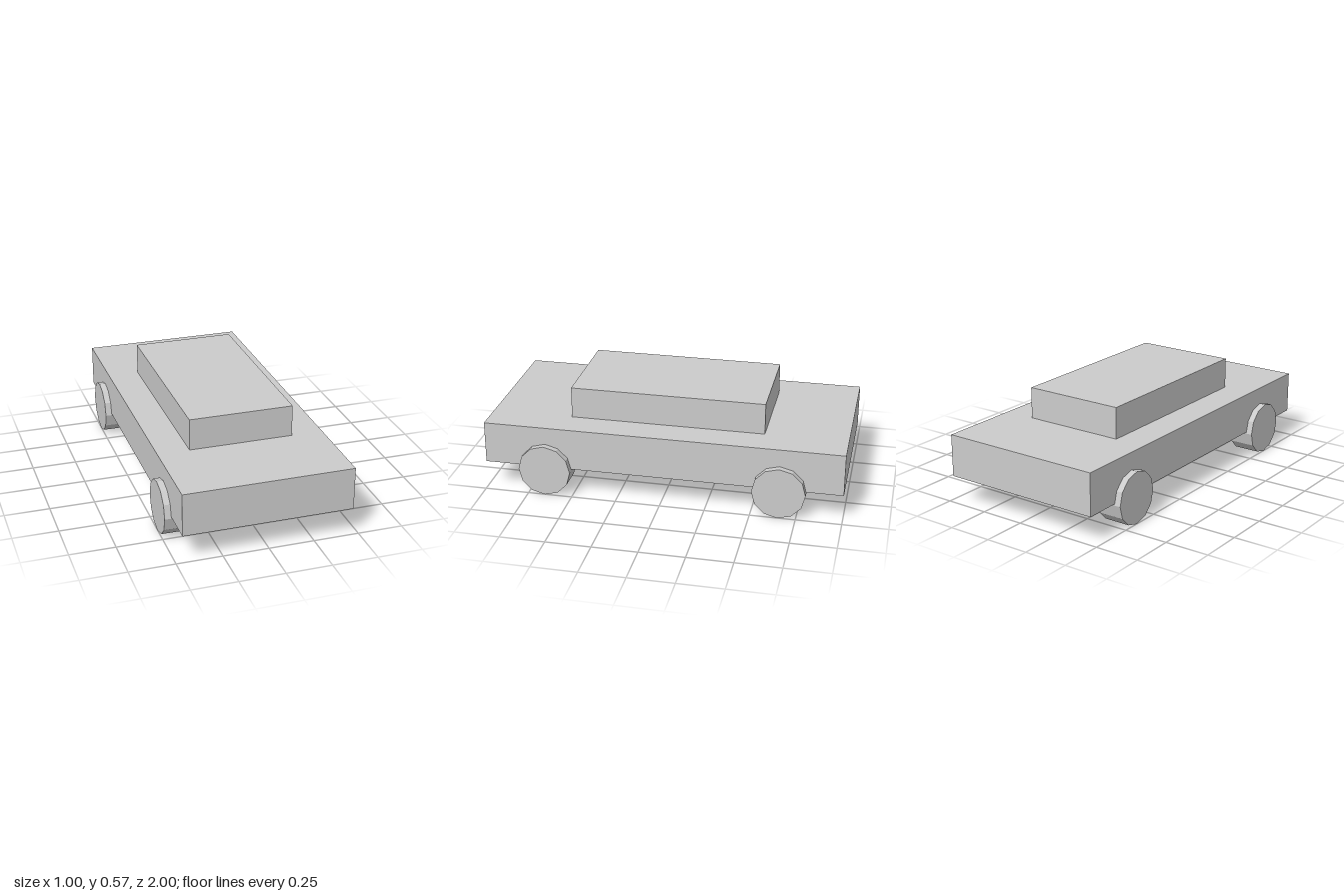
import * as THREE from 'three';

const material = new THREE.MeshStandardMaterial({ color: 0xcccccc, flatShading: true });

function addPart(group, name, geometry, x, y, z) {
  const mesh = new THREE.Mesh(geometry, material);
  mesh.name = name;
  mesh.position.set(x, y, z);
  group.add(mesh);
}

export function createModel() {
  const car = new THREE.Group();
  car.name = 'car';

  // Body slab and cabin resting on it
  const bottom = 0.155, deck = 0.392, roof = 0.568;
  addPart(car, 'body', new THREE.BoxGeometry(0.93, deck - bottom, 2), 0, (bottom + deck) / 2, 0);
  addPart(car, 'cabin', new THREE.BoxGeometry(0.577, roof - deck, 1.087), 0, (deck + roof) / 2, 0);

  // Four twelve-sided wheels, axles along x
  const radius = 0.147, width = 0.147;
  const wheel = new THREE.CylinderGeometry(radius, radius, width, 12).rotateZ(Math.PI / 2);
  for (const [end, z] of [['front', 0.653], ['rear', -0.653]]) {
    for (const [side, sign] of [['Left', 1], ['Right', -1]]) {
      addPart(car, `${end}${side}Wheel`, wheel, sign * (0.501 - width / 2), radius, z);
    }
  }
  return car;
}
